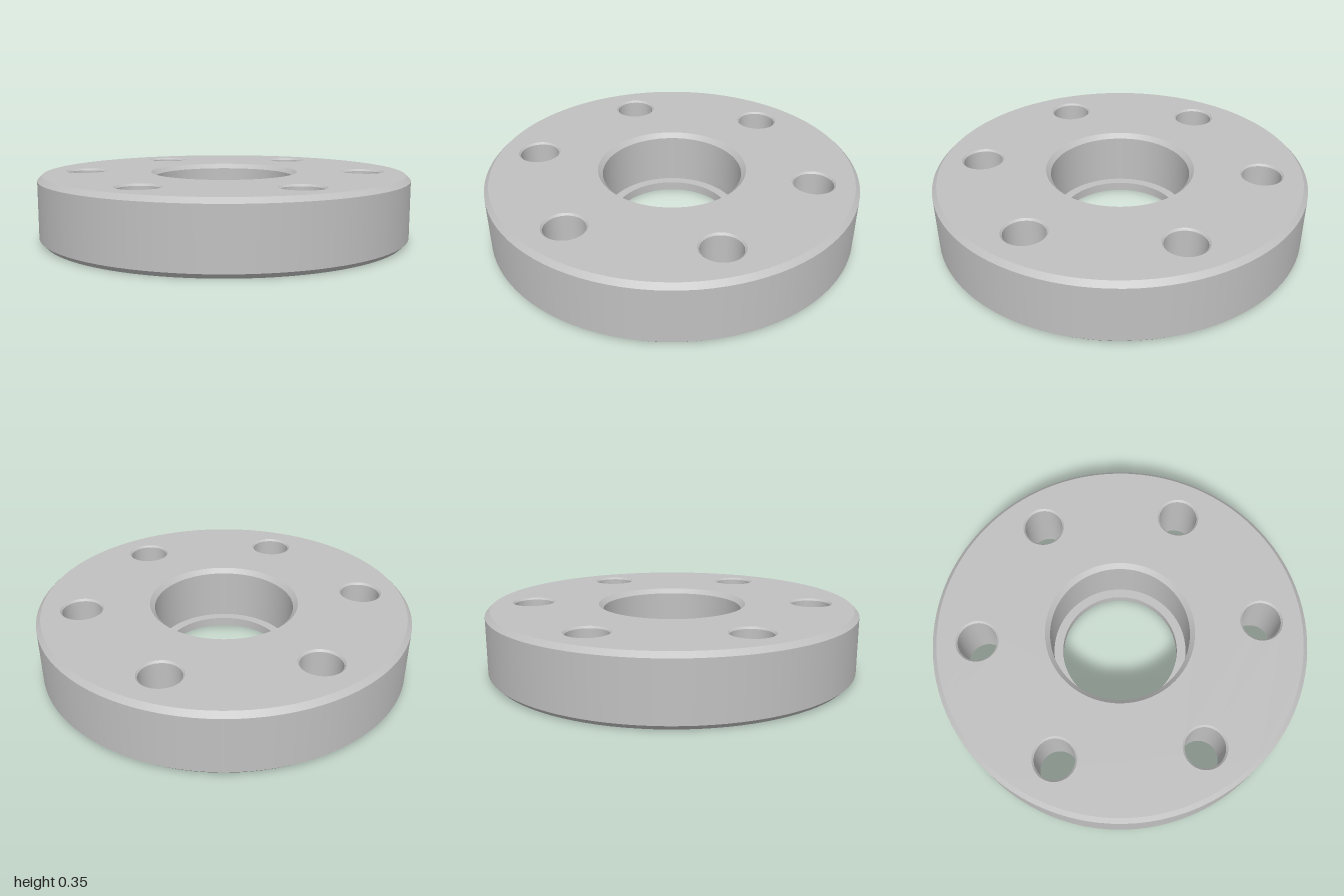
import * as THREE from 'three';

const SEG = 96;
const H = 0.35;            // thickness
const R = 1, C = 0.025;    // outer radius and edge chamfer
const BOLT_R = 0.105, BOLT_C = 0.01, BOLT_CIRCLE = 0.76, BOLTS = 6;

export function createModel() {
  const model = new THREE.Group();
  model.name = 'flange';
  const steel = new THREE.MeshStandardMaterial({ color: 0xc0c0c0 });
  steel.name = 'grey steel';

  // Revolved wall: one lathe per profile segment keeps the edges sharp.
  // Rising profiles face outward, falling profiles face the axis.
  function revolve(name, profile) {
    const group = new THREE.Group();
    group.name = name;
    for (let i = 0; i < profile.length - 1; i++) {
      const points = [profile[i], profile[i + 1]].map(([r, y]) => new THREE.Vector2(r, y));
      const mesh = new THREE.Mesh(new THREE.LatheGeometry(points, SEG), steel);
      mesh.name = name + 'Surface' + (i + 1);
      group.add(mesh);
    }
    model.add(group);
    return group;
  }

  const boltCentres = Array.from({ length: BOLTS }, (_, i) => {
    const a = (i / BOLTS) * Math.PI * 2;
    return [Math.cos(a) * BOLT_CIRCLE, Math.sin(a) * BOLT_CIRCLE];
  });

  // Flat ring pierced by the bore and the bolt holes
  function face(name, boreRadius, y, tilt) {
    const shape = new THREE.Shape().absarc(0, 0, R - C, 0, Math.PI * 2);
    const cut = (x, z, r) => shape.holes.push(new THREE.Path().absarc(x, z, r, 0, Math.PI * 2, true));
    cut(0, 0, boreRadius);
    boltCentres.forEach(([x, z]) => cut(x, z, BOLT_R + BOLT_C));
    const mesh = new THREE.Mesh(new THREE.ShapeGeometry(shape, SEG / 2).rotateX(tilt), steel);
    mesh.name = name;
    mesh.position.y = y;
    model.add(mesh);
  }

  face('topFace', 0.4, H, -Math.PI / 2);
  face('bottomFace', 0.325, 0, Math.PI / 2);

  // Chamfered rim
  revolve('outerRim', [[R - C, 0], [R, C], [R, H - C], [R - C, H]]);

  // Counterbore with a thin lip at the bottom
  revolve('centreBore', [[0.4, H], [0.375, H - C], [0.375, 0.05], [0.325, 0.05], [0.325, 0]]);

  // Bolt holes, chamfered at both ends
  boltCentres.forEach(([x, z], i) => {
    const hole = revolve('boltHole' + (i + 1), [
      [BOLT_R + BOLT_C, H], [BOLT_R, H - BOLT_C], [BOLT_R, BOLT_C], [BOLT_R + BOLT_C, 0],
    ]);
    hole.position.set(x, 0, z);
  });

  return model;
}
